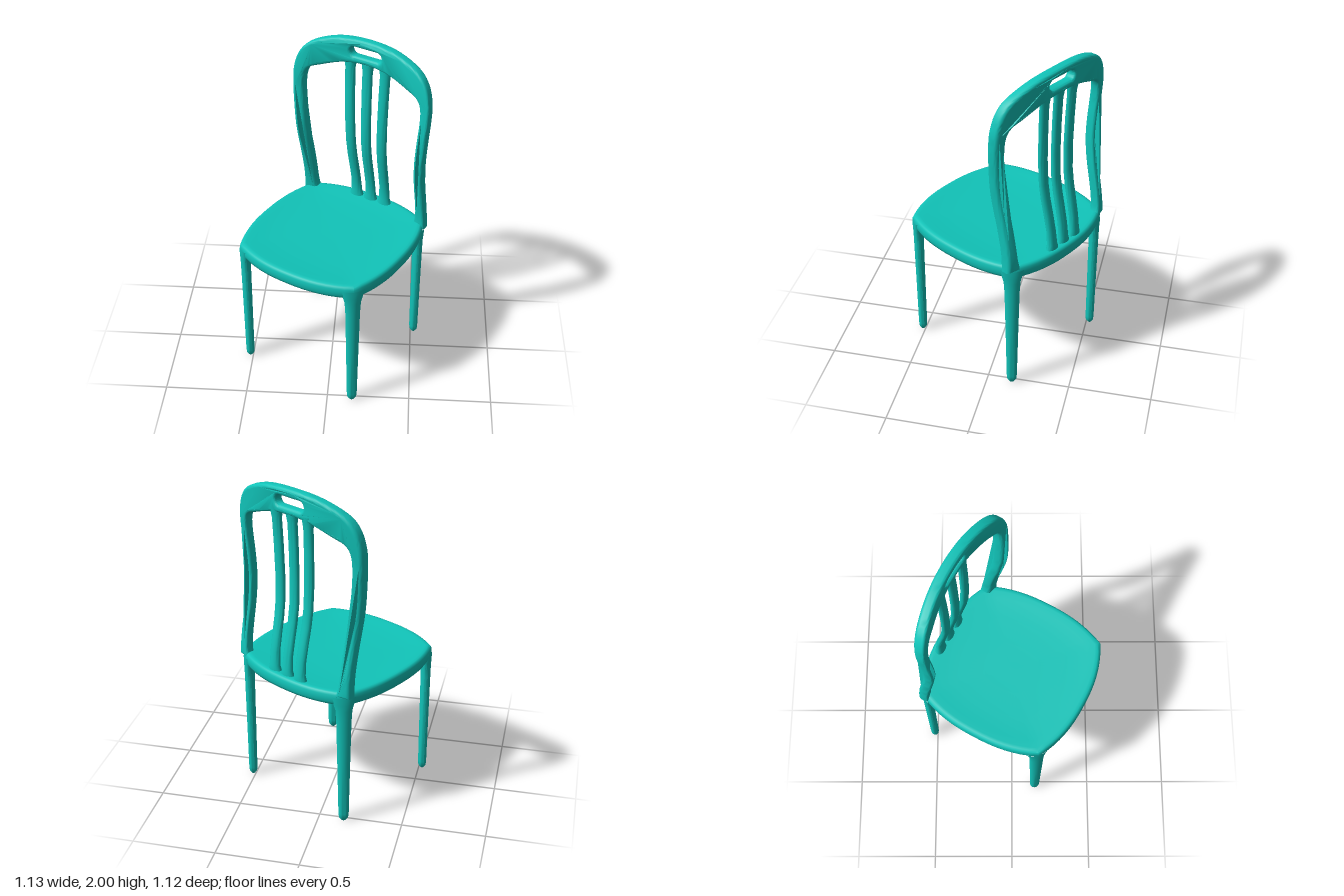
import * as THREE from 'three';
import { mergeVertices, toCreasedNormals } from 'three/addons/utils/BufferGeometryUtils.js';

const teal = new THREE.MeshStandardMaterial({ color: 0x11c4b9 });
teal.name = 'teal plastic';

function part(name, geometry, parent) {
  const mesh = new THREE.Mesh(geometry, teal);
  mesh.name = name;
  parent.add(mesh);
  return mesh;
}

// Skin a stack of closed rings of [x, y, z] points
function loft(rings) {
  const n = rings[0].length, index = [];
  for (let r = 0; r < rings.length - 1; r++) {
    for (let i = 0; i < n; i++) {
      const a = r * n + i, b = r * n + (i + 1) % n;
      index.push(a, a + n, b, b, a + n, b + n);
    }
  }
  const g = new THREE.BufferGeometry();
  g.setAttribute('position', new THREE.Float32BufferAttribute(rings.flat(2), 3));
  g.setIndex(index);
  return toCreasedNormals(g, 0.75);
}

// Elliptical ring: centre x, y, z and radii along x and z
function ellipse(x, y, z, rx, rz, n = 20) {
  return Array.from({ length: n }, (_, i) => {
    const a = i / n * Math.PI * 2;
    return [x + rx * Math.cos(a), y, z + rz * Math.sin(a)];
  });
}

// Seat: four bowed sides, dished top, hollow underside
function seatGeometry() {
  const outline = [], steps = 16, half = 0.405;
  for (let side = 0; side < 4; side++) {
    const bulge = side % 2 ? 0.092 : 0.08;
    const c = Math.cos(side * Math.PI / 2), s = Math.sin(side * Math.PI / 2);
    for (let i = 0; i < steps; i++) {
      const t = i / steps * 2 - 1;
      const out = half + bulge * (1 - Math.abs(t) ** 2.4), along = half * t;
      outline.push([out * c - along * s, out * s + along * c]);
    }
  }
  const profile = [
    [0.001, 0.85], [0.5, 0.85], [0.9, 0.846], [0.91, 0.81], [0.925, 0.796],
    [0.965, 0.795], [0.985, 0.801], [0.998, 0.818], [1, 0.84], [0.997, 0.862],
    [0.985, 0.875], [0.965, 0.88], [0.93, 0.88], [0.85, 0.875], [0.6, 0.868],
    [0.3, 0.865], [0.001, 0.864],
  ];
  return loft(profile.map(([k, y]) => outline.map(([x, z]) => [x * k, y, z * k])));
}

// Leg: tapered, wider across the corner than through it
function legGeometry() {
  const sections = [
    [0, 0.001, 0.001], [0, 0.014, 0.012], [0.02, 0.028, 0.024], [0.05, 0.031, 0.026],
    [0.4, 0.038, 0.028], [0.68, 0.044, 0.03], [0.76, 0.049, 0.031],
    [0.8, 0.06, 0.033], [0.85, 0.07, 0.033],
  ];
  return loft(sections.map(([y, a, b]) => ellipse(0, y, 0, a, b)));
}

// Slat: upright at the top, sweeping back into the seat's rear edge
function slatGeometry(side) {
  const sections = [
    [0.85, -0.443, 1.6], [0.88, -0.443, 1.35], [0.91, -0.443, 1.1], [1.0, -0.434, 1],
    [1.1, -0.414, 1], [1.2, -0.392, 1], [1.3, -0.377, 1], [1.45, -0.37, 1],
    [1.65, -0.373, 1], [1.8, -0.379, 1], [1.84, -0.381, 1.2], [1.87, -0.382, 1.4],
  ];
  return loft(sections.map(([y, z, k]) =>
    ellipse(side * (0.1 + 0.02 * (y - 0.85)), y, z, 0.033 * k, 0.022 * Math.min(k, 1.3))));
}

// Back frame: stiles and top rail in one bevelled outline, then bent front to back
function backFrameGeometry() {
  const arch = (half) => {
    const mirrored = half.slice(0, -1).reverse().map(([x, y]) => [-x, y]);
    const points = half.concat(mirrored).map(([x, y]) => new THREE.Vector2(x, y));
    return new THREE.SplineCurve(points).getPoints(96);
  };
  const outer = arch([
    [0.437, 0.85], [0.433, 1.0], [0.436, 1.2], [0.452, 1.45], [0.465, 1.65],
    [0.46, 1.76], [0.425, 1.86], [0.35, 1.93], [0.19, 1.985], [0, 2.0],
  ]);
  const inner = arch([
    [0.345, 0.85], [0.365, 0.93], [0.37, 1.2], [0.388, 1.45], [0.401, 1.62],
    [0.395, 1.71], [0.365, 1.758], [0.3, 1.785], [0.15, 1.835], [0, 1.85],
  ]);
  const shape = new THREE.Shape(outer.concat(inner.reverse()));

  // Rounded hand slot
  const slot = new THREE.Path(), r = 0.03, w = 0.075, y = 1.921;
  slot.absarc(w, y, r, -Math.PI / 2, Math.PI / 2, false);
  slot.absarc(-w, y, r, Math.PI / 2, Math.PI * 1.5, false);
  slot.closePath();
  shape.holes.push(slot);

  const bevel = 0.018, depth = 0.066;
  let g = new THREE.ExtrudeGeometry(shape, {
    depth: depth - 2 * bevel, bevelThickness: bevel, bevelSize: bevel,
    bevelOffset: -bevel, bevelSegments: 4, curveSegments: 10,
  });
  g.translate(0, 0, bevel - depth / 2);
  const p = g.attributes.position, smooth = THREE.MathUtils.smoothstep;
  for (let i = 0; i < p.count; i++) {
    const py = p.getY(i), u = p.getX(i) / 0.465;
    const lean = -0.365 + 0.075 * smooth(py, 0.85, 1.4) - 0.022 * smooth(py, 1.4, 1.85);
    const curve = 0.068 * (1 - u * u);
    p.setZ(i, p.getZ(i) + lean - curve);
  }
  g.deleteAttribute('normal');
  g.deleteAttribute('uv');
  g = mergeVertices(g, 1e-5);
  return toCreasedNormals(g, 0.7);
}

export function createModel() {
  const model = new THREE.Group();
  model.name = 'chair';

  // The chair stands turned about the vertical axis
  const chair = new THREE.Group();
  chair.name = 'turnedChair';
  chair.rotation.y = THREE.MathUtils.degToRad(-28.8);
  model.add(chair);

  part('seat', seatGeometry(), chair);
  part('backFrame', backFrameGeometry(), chair);

  for (const side of [-1, 0, 1]) part('backSlat', slatGeometry(side), chair);

  const leg = legGeometry();
  for (const sx of [-1, 1]) {
    for (const sz of [-1, 1]) {
      const mesh = part(sz > 0 ? 'frontLeg' : 'backLeg', leg, chair);
      mesh.position.set(sx * 0.382, 0, sz * 0.382);
      mesh.rotation.y = sx * sz * Math.PI / 4;
    }
  }
  return model;
}
